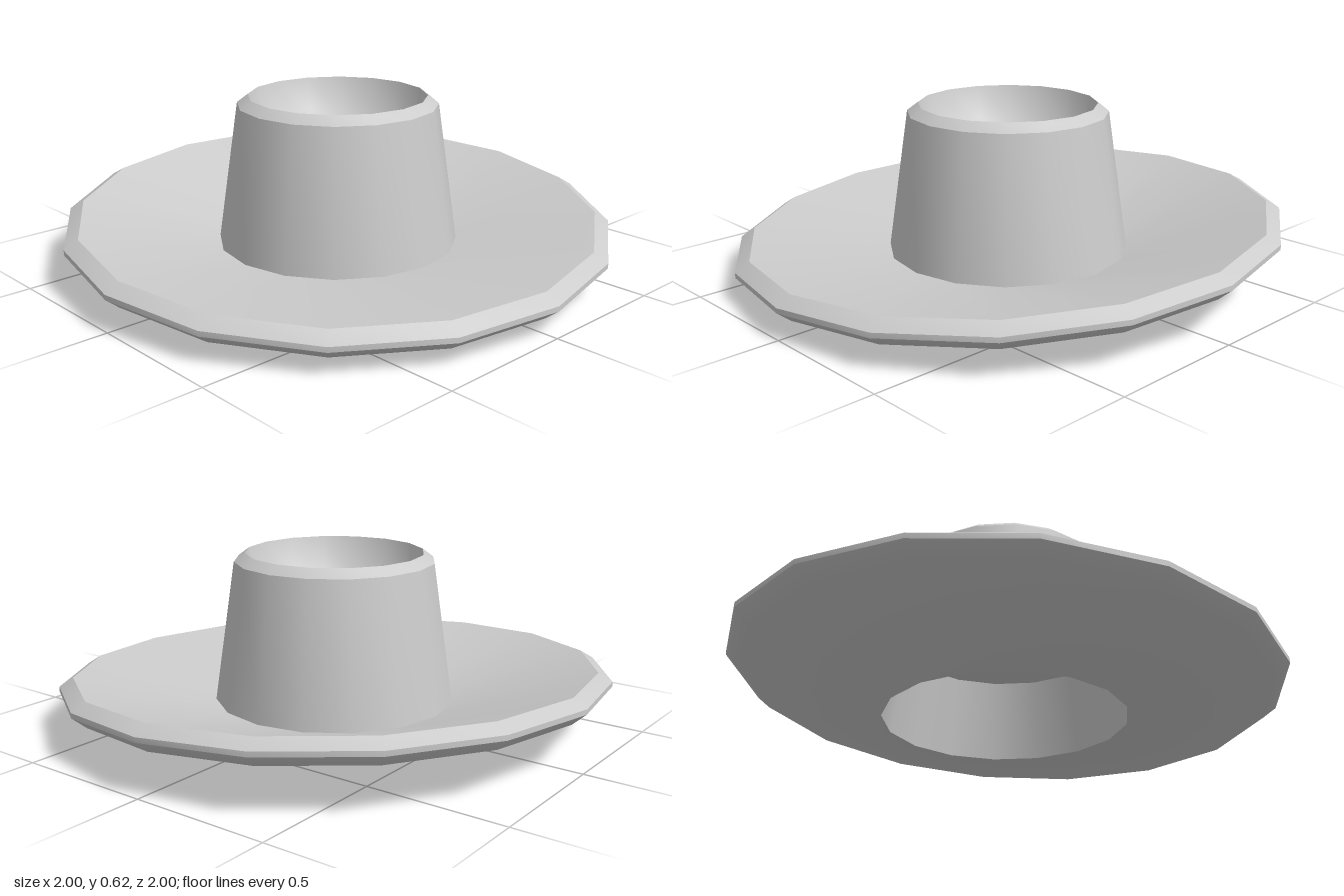
import * as THREE from 'three';
import { toCreasedNormals } from 'three/addons/utils/BufferGeometryUtils.js';

const SIDES = 16;
const BASE_R = 0.44; // where crown and brim meet

export function createModel() {
  const hat = new THREE.Group();
  hat.name = 'hat';
  const material = new THREE.MeshStandardMaterial({ color: 0xcccccc, side: THREE.DoubleSide });

  const turned = (profile) =>
    new THREE.LatheGeometry(profile.map(([r, y]) => new THREE.Vector2(r, y)), SIDES);

  const add = (name, geometry) => {
    const mesh = new THREE.Mesh(geometry, material);
    mesh.name = name;
    hat.add(mesh);
  };

  // Brim: underside, thin bevelled edge, then the dished upper face
  const brim = turned([
    [BASE_R, 0], [0.95, 0.105], [1, 0.147], [1, 0.165], [0.95, 0.196], [BASE_R, 0.08],
  ]);
  // Tilt the outer edge up towards the back left, leaving the inner ring level
  const pos = brim.attributes.position;
  for (let i = 0; i < pos.count; i++) {
    const x = pos.getX(i), z = pos.getZ(i);
    const weight = Math.min(1, Math.max(0, (Math.hypot(x, z) - BASE_R) / 0.51));
    pos.setY(i, pos.getY(i) + weight * (0.035 * x - 0.055 * z));
  }
  add('brim', toCreasedNormals(brim, 0.65));

  // Crown: tapered wall with a chamfered top edge
  add('crown', toCreasedNormals(turned([[BASE_R, 0.08], [0.365, 0.59], [0.325, 0.62]]), 0.65));

  // Rounded hollow in the top of the crown
  add('crownHollow', turned([[0.325, 0.62], [0.29, 0.5], [0.2, 0.41], [0.1, 0.37], [0, 0.36]]));

  // Head opening underneath: flat ceiling and sloping inner wall
  add('headOpeningCeiling', turned([[0, 0.3], [0.39, 0.3]]));
  add('headOpeningWall', turned([[0.39, 0.3], [BASE_R, 0]]));

  return hat;
}
